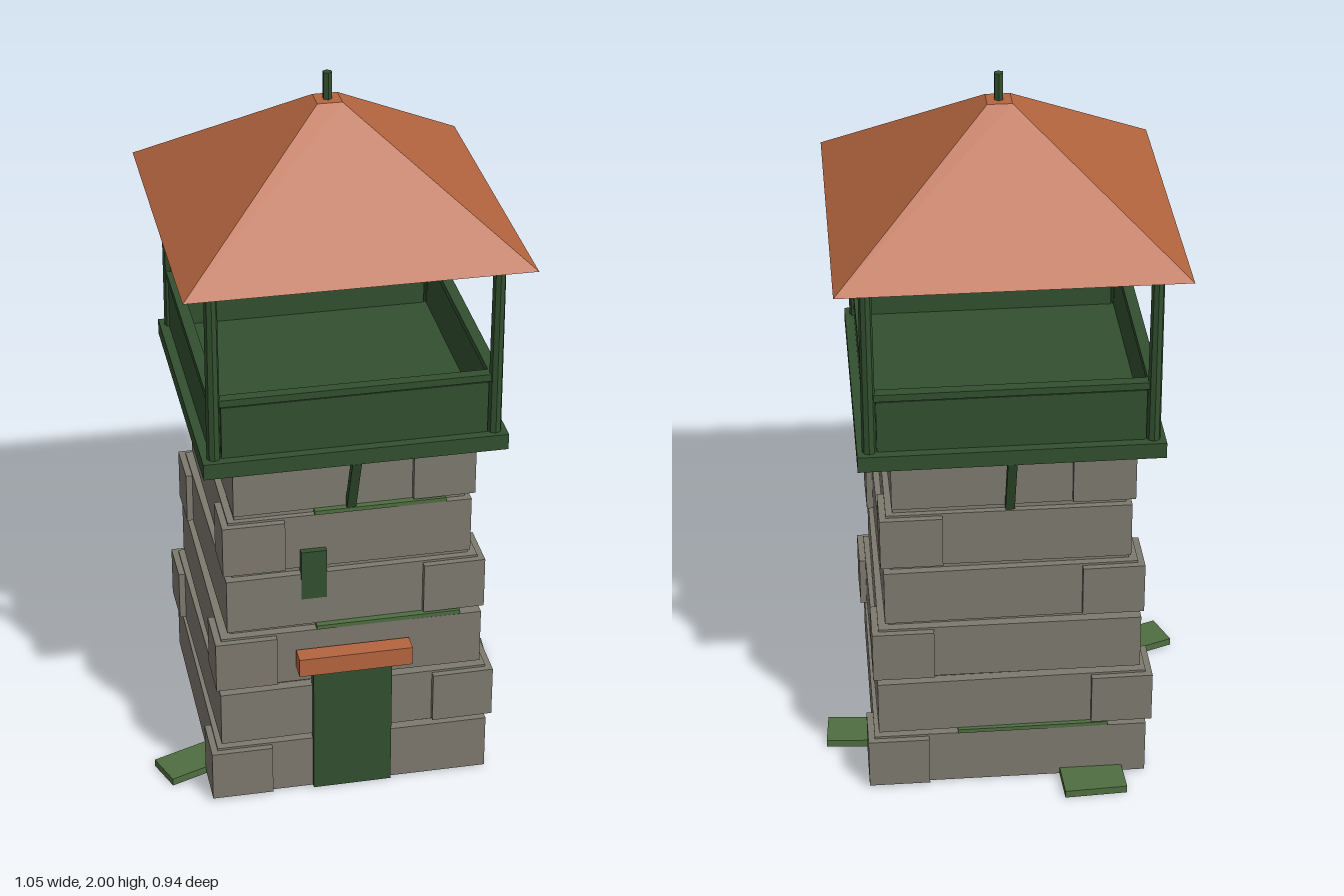
import * as THREE from 'three';

const mat = (color) => new THREE.MeshStandardMaterial({ color, flatShading: true });

export function createModel() {
  const model = new THREE.Group();
  const stone = mat(0x7d796f), wood = mat(0x32502f), moss = mat(0x4f6e40), clay = mat(0xb5653f);

  const add = (parent, name, geometry, material, x, y, z) => {
    const mesh = new THREE.Mesh(geometry, material);
    mesh.name = name;
    mesh.position.set(x, y, z);
    parent.add(mesh);
    return mesh;
  };
  const box = (parent, name, material, w, h, d, x, y, z, yaw = 0) => {
    const mesh = add(parent, name, new THREE.BoxGeometry(w, h, d), material, x, y, z);
    mesh.rotation.y = yaw;
    return mesh;
  };
  // Square frustum given by half widths
  const frustum = (top, bottom, height) =>
    new THREE.CylinderGeometry(top * Math.SQRT2, bottom * Math.SQRT2, height, 4).rotateY(Math.PI / 4);

  // Everything but the ground pieces shares one axis
  const tower = new THREE.Group();
  tower.name = 'tower';
  tower.position.set(0.01, 0, 0.014);
  model.add(tower);

  // Mortar core and stepped stone courses
  add(tower, 'mortarCore', frustum(0.305, 0.365, 1.06), stone, 0, 0.533, 0);
  const halves = [0.381, 0.373, 0.362, 0.347, 0.333, 0.32];
  halves.forEach((half, i) => {
    const course = new THREE.Group();
    course.name = 'stoneCourse';
    course.position.y = 0.087 + i * 0.1755;
    course.rotation.y = (i % 2 ? 1 : -1) * 0.006;
    tower.add(course);
    box(course, 'courseBlock', stone, half * 2, 0.163, half * 2, 0, 0, 0);
    // Corner stones swap diagonals from course to course
    for (const s of [-1, 1]) {
      const w = 0.17, d = 0.14, out = half + 0.018;
      const sx = s, sz = i % 2 ? s : -s;
      box(course, 'cornerStone', stone, w, 0.15, d, sx * (out - w / 2), 0, sz * (out - d / 2));
    }
  });

  // Moss in the joints between courses
  box(tower, 'jointMoss', moss, 0.4, 0.012, 0.03, 0.1, 0.527, 0.35);
  box(tower, 'jointMoss', moss, 0.36, 0.012, 0.03, 0.08, 0.878, 0.322);
  box(tower, 'jointMoss', moss, 0.42, 0.012, 0.03, -0.06, 0.176, -0.37);

  // Door, lintel and window slit
  box(tower, 'door', wood, 0.22, 0.395, 0.03, -0.005, 0.203, 0.378);
  box(tower, 'doorLintel', clay, 0.315, 0.055, 0.05, -0.002, 0.438, 0.396);
  box(tower, 'windowSlit', wood, 0.07, 0.15, 0.03, -0.105, 0.69, 0.335);

  // Lookout platform
  box(tower, 'platform', wood, 0.815, 0.045, 0.815, 0, 1.083, 0);
  for (let i = 0; i < 4; i++) {
    const side = new THREE.Group();
    side.name = 'platformSide';
    side.rotation.y = (i * Math.PI) / 2;
    tower.add(side);
    box(side, 'parapetPanel', wood, 0.71, 0.15, 0.02, 0, 1.18, 0.372);
    box(side, 'parapetRail', wood, 0.72, 0.02, 0.03, 0, 1.27, 0.372);
    add(side, 'roofPost', new THREE.CylinderGeometry(0.017, 0.019, 0.51, 8), wood, 0.375, 1.355, 0.375);
    const brace = box(side, 'brace', wood, 0.025, 0.2, 0.022, 0, 0.97, 0.358);
    brace.rotation.x = 0.38;
  }

  // Pyramid roof and finial
  add(tower, 'roof', frustum(0.033, 0.456, 0.32), clay, 0, 1.766, 0);
  add(tower, 'finial', new THREE.CylinderGeometry(0.013, 0.013, 0.12, 6), wood, 0, 1.94, 0);

  // Mossy slabs around the foot
  box(model, 'groundSlab', moss, 0.175, 0.022, 0.11, -0.217, 0.014, -0.416, 0.045);
  box(model, 'groundSlab', moss, 0.14, 0.022, 0.11, 0.451, 0.014, -0.134, -0.08);
  box(model, 'groundSlab', moss, 0.17, 0.022, 0.105, -0.43, 0.014, 0.24, 0.36);

  return model;
}
